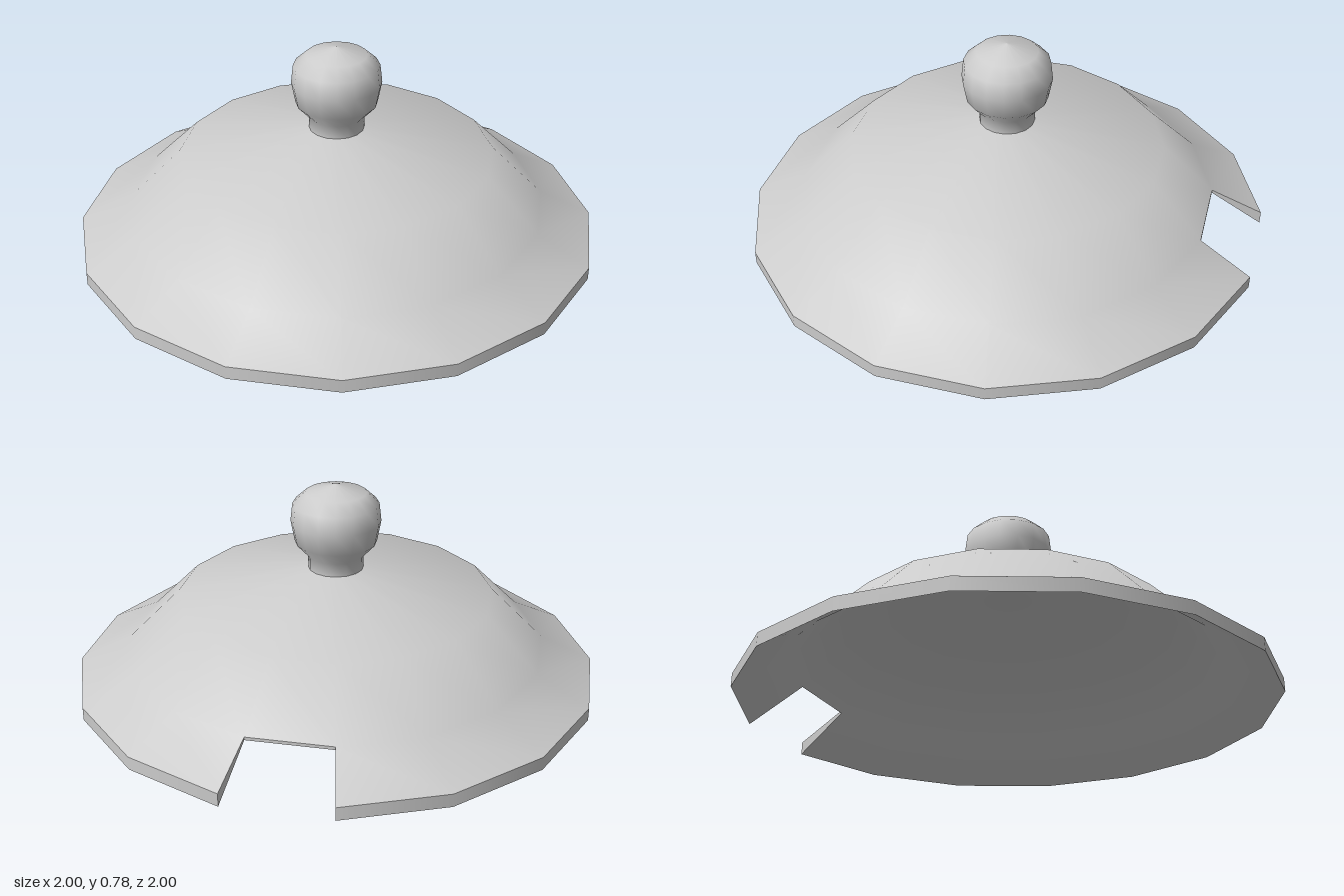
import * as THREE from 'three';

const SIDES = 16;
const NOTCH = 8; // the lathe segment left open at the back

const mat = (side = THREE.FrontSide) => new THREE.MeshStandardMaterial({ color: 0xcccccc, side });

// Lathe from [radius, y] pairs; bands listed in cut are left out of the notch segment
function turned(name, profile, cut = []) {
  const geo = new THREE.LatheGeometry(profile.map(([r, y]) => new THREE.Vector2(r, y)), SIDES);
  const bands = profile.length - 1;
  const index = Array.from(geo.index.array);
  geo.setIndex(index.filter((_, k) => {
    const quad = Math.floor(k / 6);
    return !(Math.floor(quad / bands) === NOTCH && cut.includes(quad % bands));
  }));
  const mesh = new THREE.Mesh(geo, mat());
  mesh.name = name;
  return mesh;
}

// Flat convex panel fanned out from its corners
function panel(name, corners) {
  const geo = new THREE.BufferGeometry().setFromPoints(corners);
  const index = [];
  for (let i = 1; i < corners.length - 1; i++) index.push(0, i, i + 1);
  geo.setIndex(index);
  geo.computeVertexNormals();
  const mesh = new THREE.Mesh(geo, mat(THREE.DoubleSide));
  mesh.name = name;
  return mesh;
}

export function createModel() {
  const lid = new THREE.Group();
  lid.name = 'lid';

  // Outer dome, upright rim and hollow underside
  lid.add(turned('dome', [[1, 0.05], [0.8, 0.15], [0.6, 0.35], [0.1, 0.45]], [0]));
  lid.add(turned('rim', [[1, 0], [1, 0.05]], [0]));
  lid.add(turned('underside', [[0, 0.435], [0.1, 0.435], [0.6, 0.338], [0.8, 0.138], [1, 0]], [3]));

  // Cut faces of the spoon notch
  const at = (phi, r, y) => new THREE.Vector3(r * Math.sin(phi), y, r * Math.cos(phi));
  const step = (Math.PI * 2) / SIDES;
  const a = NOTCH * step, b = a + step;
  for (const phi of [a, b]) {
    lid.add(panel('notchSide', [at(phi, 1, 0), at(phi, 1, 0.05), at(phi, 0.8, 0.15), at(phi, 0.8, 0.138)]));
  }
  lid.add(panel('notchBack', [at(a, 0.8, 0.138), at(a, 0.8, 0.15), at(b, 0.8, 0.15), at(b, 0.8, 0.138)]));

  // Round knob on a short neck
  lid.add(turned('knob', [
    [0.105, 0.445], [0.105, 0.5], [0.155, 0.555], [0.17, 0.635],
    [0.162, 0.705], [0.115, 0.748], [0, 0.78],
  ]));

  return lid;
}
